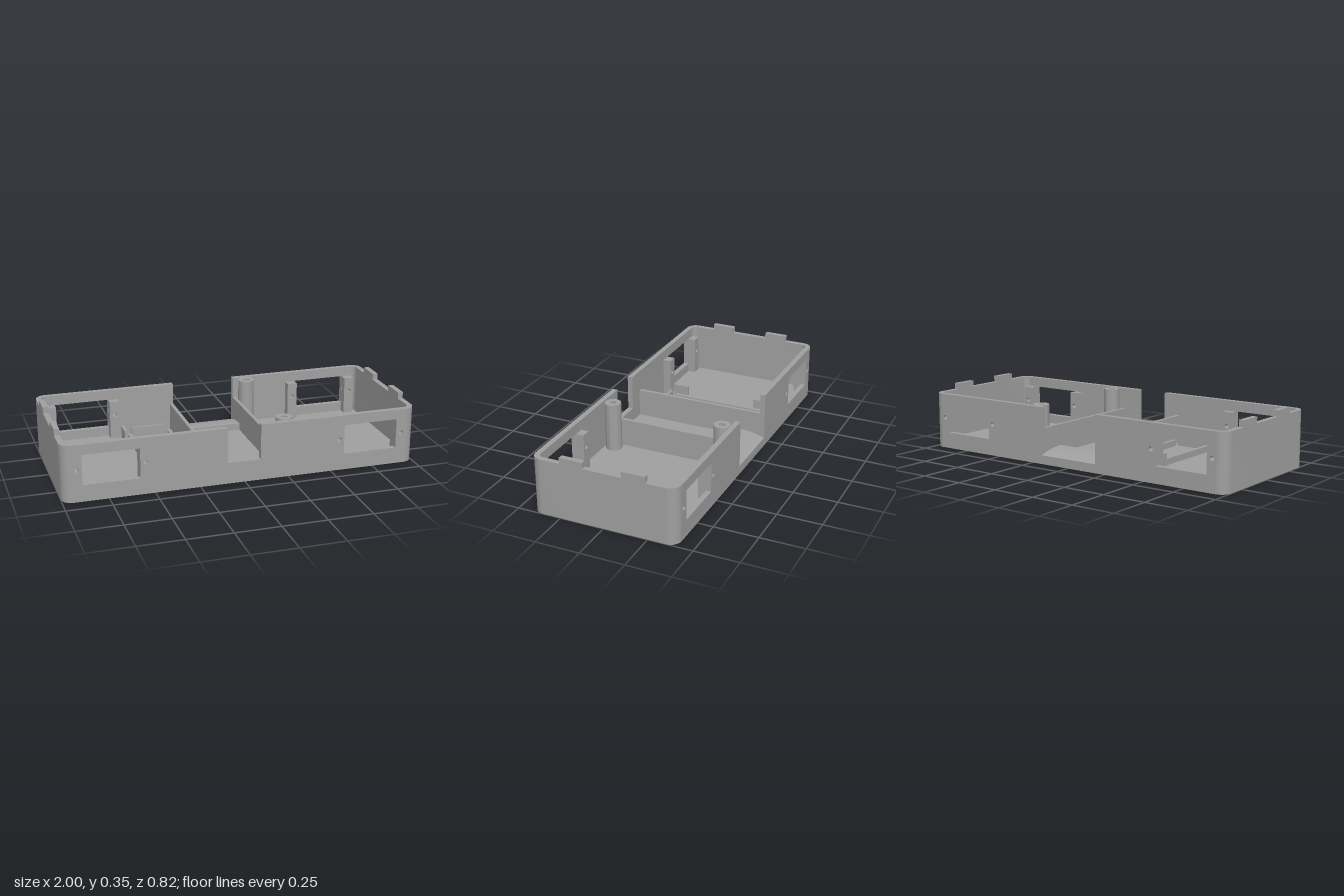
import * as THREE from 'three';
import { toCreasedNormals } from 'three/addons/utils/BufferGeometryUtils.js';

const X = 1, Z = 0.412, WALL = 0.03, R = 0.06;
const FLOOR = 0.04, TOP = 0.32;

export function createModel() {
  const model = new THREE.Group();
  model.name = 'openEnclosure';
  const grey = new THREE.MeshStandardMaterial({ color: 0xa0a0a0 });
  grey.name = 'grey plastic';

  const add = (name, geometry, parent = model) => {
    const mesh = new THREE.Mesh(geometry, grey);
    mesh.name = name;
    parent.add(mesh);
    return mesh;
  };

  // Box given by its minimum and maximum on each axis
  const block = (name, x0, x1, y0, y1, z0, z1) => {
    const mesh = add(name, new THREE.BoxGeometry(x1 - x0, y1 - y0, z1 - z0));
    mesh.position.set((x0 + x1) / 2, (y0 + y1) / 2, (z0 + z1) / 2);
    return mesh;
  };

  const extrude = (shape, depth) => toCreasedNormals(
    new THREE.ExtrudeGeometry(shape, { depth, bevelEnabled: false, curveSegments: 10 }), 0.5);

  // Plan outline (x, z) raised from y0 to y1
  const raise = (name, shape, y0, y1) => {
    const g = extrude(shape, y1 - y0);
    g.rotateX(-Math.PI / 2);
    g.translate(0, y0, 0);
    return add(name, g);
  };

  const circleHole = (x, y, r) => new THREE.Path().absarc(x, y, r, 0, Math.PI * 2, true);
  const polygon = pts => new THREE.Shape(pts.map(p => new THREE.Vector2(...p)));

  // Floor with rounded corners
  const plan = new THREE.Shape();
  plan.absarc(X - R, Z - R, R, 0, Math.PI / 2);
  plan.absarc(-X + R, Z - R, R, Math.PI / 2, Math.PI);
  plan.absarc(-X + R, -Z + R, R, Math.PI, Math.PI * 1.5);
  plan.absarc(X - R, -Z + R, R, Math.PI * 1.5, Math.PI * 2);
  raise('floor', plan, 0, FLOOR);

  // End walls with their rounded corners, and the tabs on top
  for (const side of [1, -1]) {
    const end = new THREE.Shape();
    const a = side > 0 ? 0 : Math.PI;
    const cx = side * (X - R), cz = side * (Z - R);
    end.absarc(cx, -cz, R, a - Math.PI / 2, a);
    end.absarc(cx, cz, R, a, a + Math.PI / 2);
    end.absarc(cx, cz, R - WALL, a + Math.PI / 2, a, true);
    end.absarc(cx, -cz, R - WALL, a, a - Math.PI / 2, true);
    raise(side > 0 ? 'leftEndWall' : 'rightEndWall', end, FLOOR, TOP);
    for (const z of [0.175, -0.175]) {
      const x = side * (X - WALL / 2);
      block('lidTab', x - WALL / 2, x + WALL / 2, TOP, 0.355, z - 0.066, z + 0.066);
    }
  }

  // Long walls with a central notch, two windows and screw holes
  const screwXs = [-0.92, -0.55, 0.547, 0.917];
  const longWall = (name, n0, n1, notchY, z) => {
    const e = X - R;
    const shape = polygon([[-e, FLOOR], [e, FLOOR], [e, TOP], [n1, TOP], [n1, notchY],
      [n0, notchY], [n0, TOP], [-e, TOP]]);
    for (const [a, b] of [[-0.89, -0.58], [0.575, 0.887]]) {
      const hole = new THREE.Path();
      hole.moveTo(a, 0.093).lineTo(a, 0.263).lineTo(b, 0.263).lineTo(b, 0.093).closePath();
      shape.holes.push(hole);
    }
    screwXs.forEach(x => shape.holes.push(circleHole(x, 0.18, 0.013)));
    add(name, extrude(shape, WALL)).position.z = z;
  };
  longWall('frontWall', -0.097, 0.09, 0.12, Z - WALL);
  longWall('backWall', -0.188, 0.182, 0.05, -Z);

  // Drilled posts beside each window
  for (const x of screwXs) {
    for (const z of [0.337, -0.383]) {
      const post = polygon([[x - 0.029, FLOOR], [x + 0.029, FLOOR], [x + 0.029, 0.262], [x - 0.029, 0.262]]);
      post.holes.push(circleHole(x, 0.18, 0.013));
      add('windowPost', extrude(post, 0.046)).position.z = z;
    }
  }

  // Dividers beside the central channel
  block('rightDivider', -0.208, -0.188, FLOOR, 0.2, -Z + WALL, Z - WALL);
  block('leftDivider', 0.182, 0.202, FLOOR, 0.2, -Z + WALL, Z - WALL);

  // Curved ramp running out through the back notch
  const ramp = new THREE.Shape();
  ramp.moveTo(0.245, FLOOR).lineTo(Z, FLOOR).lineTo(Z, 0.05);
  ramp.quadraticCurveTo(0.33, 0.08, 0.245, 0.08);
  ramp.closePath();
  const rampGeometry = extrude(ramp, 0.37);
  rampGeometry.rotateY(Math.PI / 2);
  rampGeometry.translate(-0.188, 0, 0);
  add('channelRamp', rampGeometry);

  // Hollow screw pillars
  for (const z of [-0.333, 0.327]) {
    const profile = [[0, 0.1], [0.018, 0.1], [0.018, TOP], [0.046, TOP], [0.046, FLOOR]]
      .reverse().map(p => new THREE.Vector2(...p));
    add('screwPillar', toCreasedNormals(new THREE.LatheGeometry(profile, 28), 0.5))
      .position.set(0.25, 0, z);
  }

  // Holder on the right half of the floor: rails, end bars and corner stubs
  for (const x of [-0.475, -0.24]) block('holderRail', x - 0.011, x + 0.011, FLOOR, 0.075, -0.285, 0.277);
  for (const z of [-0.305, 0.297]) {
    block('holderEndBar', -0.462, -0.25, FLOOR, 0.105, z - 0.007, z + 0.007);
    const s = Math.sign(z);
    const mid = z - s * 0.04;
    block('holderStub', -0.521, -0.504, FLOOR, 0.12, mid - 0.046, mid + 0.046);
  }

  return model;
}
